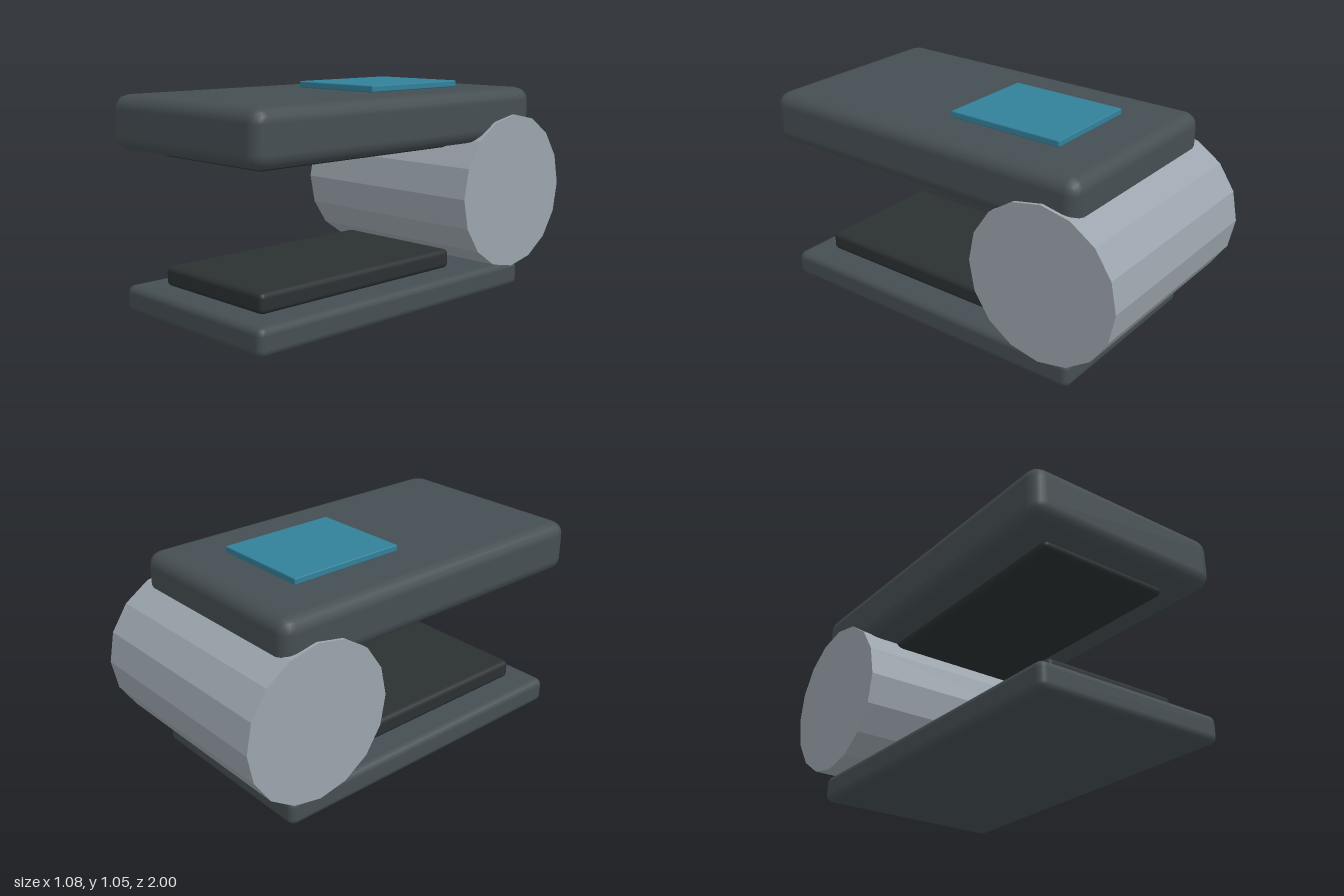
import * as THREE from 'three';
import { RoundedBoxGeometry } from 'three/addons/geometries/RoundedBoxGeometry.js';

const material = (color, flatShading = false) => new THREE.MeshStandardMaterial({ color, flatShading });

export function createModel() {
  const group = new THREE.Group();
  const shell = material(0x454e52);
  const rubber = material(0x2b3032);
  const steel = material(0x9ca5ad, true);
  const teal = material(0x32809a);

  // Rounded slab given by its width and its y and z extents
  function slab(name, mat, width, [y0, y1], [z0, z1], radius) {
    const geometry = new RoundedBoxGeometry(width, y1 - y0, z1 - z0, 2, radius);
    const mesh = new THREE.Mesh(geometry, mat);
    mesh.name = name;
    mesh.position.set(0, (y0 + y1) / 2, (z0 + z1) / 2);
    group.add(mesh);
  }

  // Lower and upper jaws, each with a pad on its inner face
  slab('lowerJaw', shell, 0.98, [0, 0.13], [-0.745, 0.97], 0.035);
  slab('lowerPad', rubber, 0.695, [0.13, 0.225], [-0.365, 0.845], 0.025);
  slab('upperPad', rubber, 0.695, [0.735, 0.83], [-0.365, 0.845], 0.025);
  slab('upperJaw', shell, 1.045, [0.765, 1.018], [-0.78, 1], 0.065);

  // Coloured plate on top
  slab('topPlate', teal, 0.506, [1.018, 1.05], [-0.51, 0.09], 0.006);

  // Faceted hinge barrel lying across the back
  const barrel = new THREE.Mesh(new THREE.CylinderGeometry(0.38, 0.38, 1.076, 16), steel);
  barrel.name = 'hingeBarrel';
  barrel.rotation.z = Math.PI / 2;
  barrel.position.set(0, 0.51, -0.62);
  group.add(barrel);

  return group;
}
